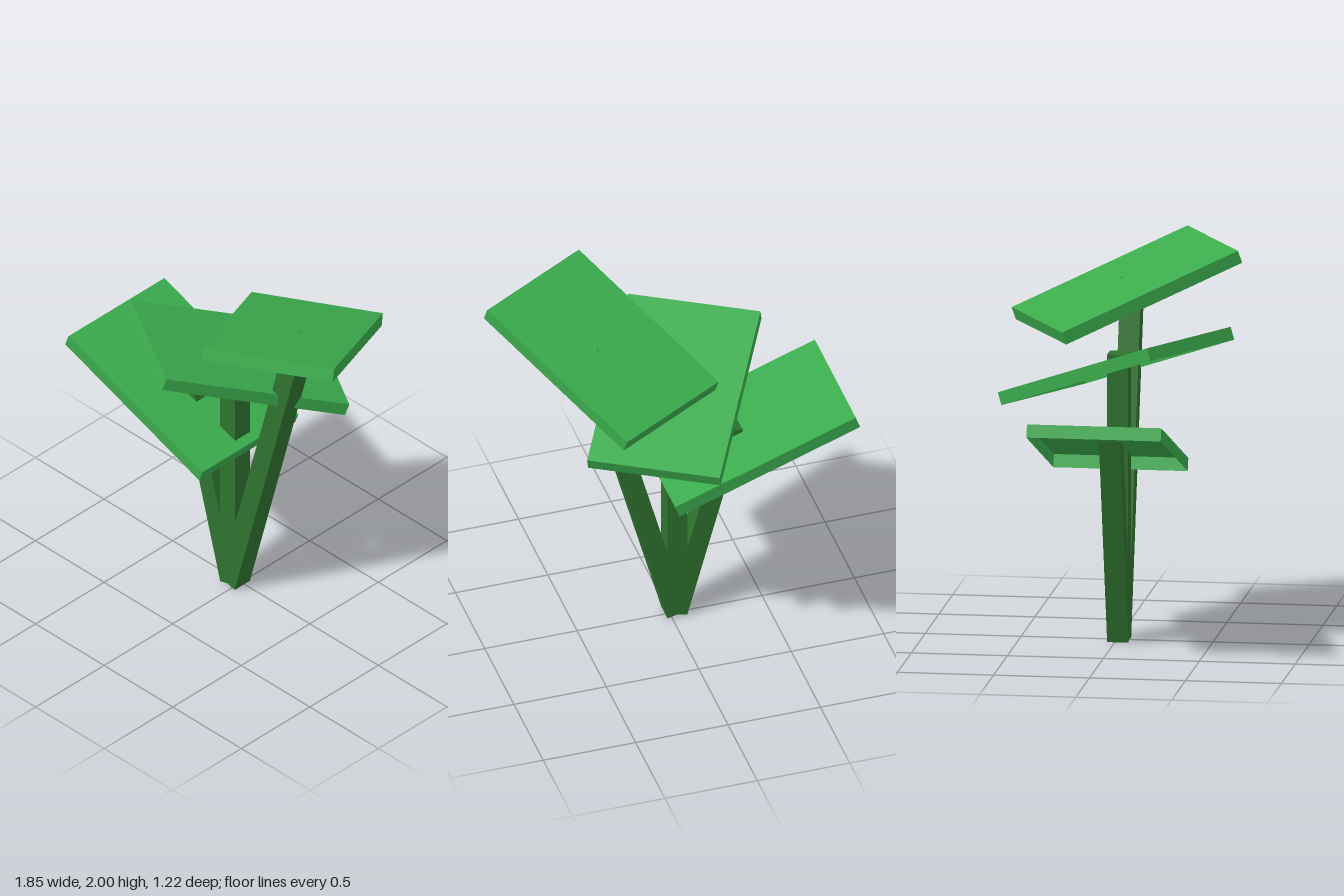
import * as THREE from 'three';

// Box centred on the origin with its -y face left open
function openBox(w, h, d) {
  const geo = new THREE.BoxGeometry(w, h, d);
  const index = Array.from(geo.index.array);
  index.splice(18, 6);
  geo.setIndex(index);
  geo.clearGroups();
  return geo;
}

export function createModel() {
  const model = new THREE.Group();
  const deg = THREE.MathUtils.degToRad;

  const leafGreen = new THREE.MeshStandardMaterial({ color: 0x3bab4d, side: THREE.DoubleSide });
  leafGreen.name = 'leaf green';
  const stemGreen = new THREE.MeshStandardMaterial({ color: 0x2f732f, side: THREE.DoubleSide });
  stemGreen.name = 'stem green';

  // Each sprig: a square stem fanned out from the base, and a hollow leaf
  // that tilts 20 degrees and is turned about the vertical
  const sprigs = [
    { name: 'right', lean: 15, length: 1.165, leaf: [-0.423, 1.095, 0.01], turn: 0 },
    { name: 'middle', lean: 0, length: 1.5, leaf: [-0.025, 1.444, -0.002], turn: 60 },
    { name: 'left', lean: -15, length: 1.859, leaf: [0.37, 1.79, -0.002], turn: 120 },
  ];

  for (const { name, lean, length, leaf, turn } of sprigs) {
    const stem = new THREE.Mesh(openBox(0.11, length, 0.11).translate(0, length / 2, 0), stemGreen);
    stem.name = `${name}Stem`;
    stem.position.set(-0.03, 0.015, 0.015);
    stem.rotation.z = deg(lean);
    model.add(stem);

    const blade = new THREE.Mesh(openBox(1.04, 0.069, 0.7), leafGreen);
    blade.name = `${name}Leaf`;
    blade.position.set(...leaf);
    blade.rotation.set(0, deg(turn), deg(-20), 'YXZ');
    model.add(blade);
  }

  return model;
}
